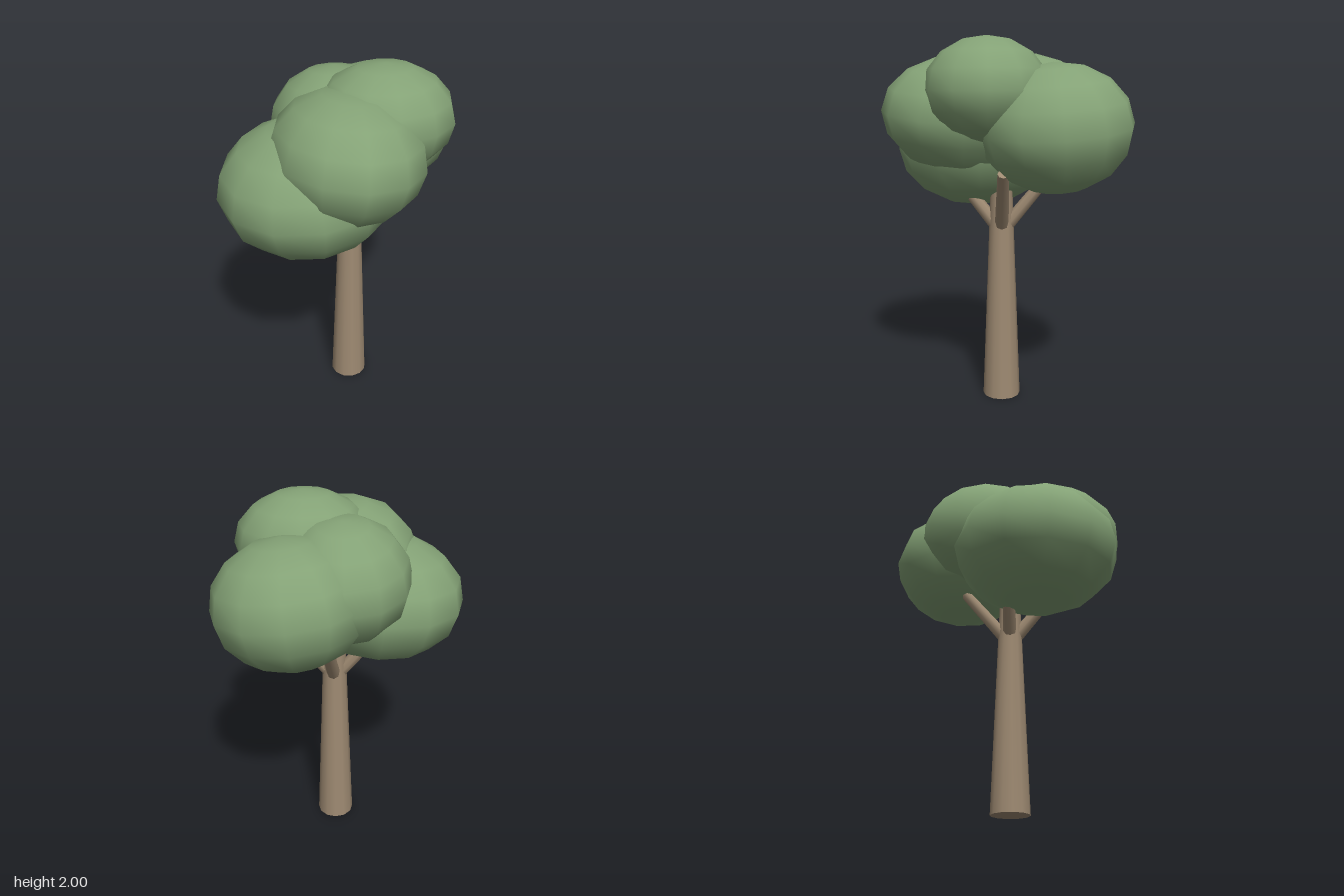
import * as THREE from 'three';

// Leaf clumps: centre, radii, then tilt about x and z
const CLUMPS = [
  ['leftClump', [-0.2, 1.41, 0.13], [0.465, 0.34, 0.462], [0.03, 0.08]],
  ['frontClump', [-0.015, 1.59, 0.2], [0.395, 0.325, 0.463], [-0.06, -0.1]],
  ['topClump', [0.197, 1.725, 0.09], [0.366, 0.275, 0.33], [0, 0]],
  ['backRightClump', [0.262, 1.535, -0.262], [0.4, 0.332, 0.405], [0.07, -0.1]],
  ['backClump', [0, 1.61, -0.14], [0.35, 0.31, 0.38], [-0.12, 0]],
];

// Four branches fanning out near the trunk top, as angles in plan
const BRANCHES = [0, 1.77, 3.3, 4.86];

// Tapered round limb between two points
function limb(name, from, to, r0, r1, sides, material) {
  const dir = new THREE.Vector3().subVectors(to, from);
  const mesh = new THREE.Mesh(new THREE.CylinderGeometry(r1, r0, dir.length(), sides), material);
  mesh.name = name;
  mesh.position.copy(from).addScaledVector(dir, 0.5);
  mesh.quaternion.setFromUnitVectors(new THREE.Vector3(0, 1, 0), dir.normalize());
  return mesh;
}

export function createModel() {
  const tree = new THREE.Group();
  tree.name = 'tree';
  const bark = new THREE.MeshStandardMaterial({ color: 0x9e8a72 });
  bark.name = 'bark';
  const leaf = new THREE.MeshStandardMaterial({ color: 0x84a276 });
  leaf.name = 'leaf';

  // Trunk
  const cx = 0.047, cz = 0.01;
  tree.add(limb('trunk', new THREE.Vector3(cx, 0, cz), new THREE.Vector3(cx, 1.2, cz), 0.105, 0.06, 12, bark));

  // Branches
  for (const a of BRANCHES) {
    const at = (r, y) => new THREE.Vector3(cx + Math.cos(a) * r, y, cz + Math.sin(a) * r);
    tree.add(limb('branch', at(0.03, 0.99), at(0.29, 1.31), 0.038, 0.03, 8, bark));
  }

  // Foliage: low-poly squashed balls with smooth normals
  for (const [name, centre, radii, [tiltX, tiltZ]] of CLUMPS) {
    const geometry = new THREE.SphereGeometry(1, 12, 8).scale(...radii);
    const clump = new THREE.Mesh(geometry, leaf);
    clump.name = name;
    clump.position.set(...centre);
    clump.rotation.set(tiltX, 0, tiltZ);
    tree.add(clump);
  }
  return tree;
}
